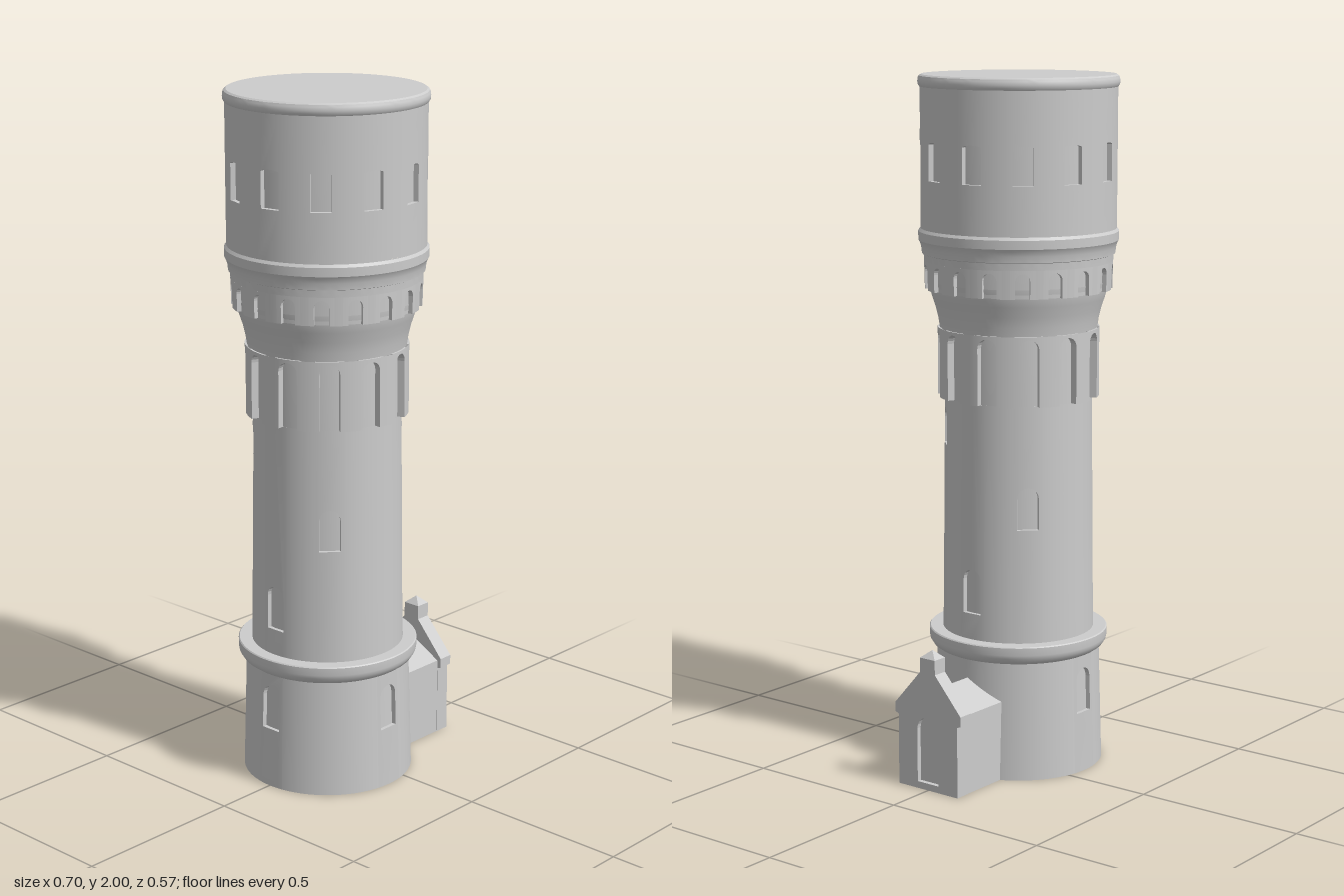
import * as THREE from 'three';
import { toCreasedNormals } from 'three/addons/utils/BufferGeometryUtils.js';

const stone = new THREE.MeshStandardMaterial({ color: 0xcccccc });
stone.name = 'pale stone';
const deg = Math.PI / 180;

function add(parent, name, geometry) {
  const mesh = new THREE.Mesh(geometry, stone);
  mesh.name = name;
  parent.add(mesh);
  return mesh;
}

// Surface turned around the tower axis, from [radius, y] points listed upwards
function turned(points, segments = 96, start = 0, length = Math.PI * 2) {
  const profile = points.map(([r, y]) => new THREE.Vector2(r, y));
  return toCreasedNormals(new THREE.LatheGeometry(profile, segments, start, length), 0.5);
}

// Outline of an arched opening
function archPoints(width, bottom, top, rise) {
  const points = [[-width / 2, bottom], [width / 2, bottom]];
  for (let i = 0; i <= 10; i++) {
    const t = (i / 10) * Math.PI;
    points.push([(width / 2) * Math.cos(t), top - rise + rise * Math.sin(t)]);
  }
  return points.map(([x, y]) => new THREE.Vector2(x, y));
}

// Flat panel with an arched hole (or a notch open at the bottom), bent onto the wall
function bentPanel(wall, angle, half, bottom, top) {
  const { y0, y1, r0, r1, depth, width, rise } = wall;
  const R = (r0 + r1) / 2, s = half * R;
  const open = bottom <= y0;
  const arch = archPoints(width, open ? y0 : bottom, top, rise);
  const outline = [new THREE.Vector2(-s, y0)];
  if (open) outline.push(arch[0], ...arch.slice(2).reverse(), arch[1]);
  else for (let i = 1; i < 6; i++) outline.push(new THREE.Vector2(-s + (2 * s * i) / 6, y0));
  for (let i = 0; i <= 8; i++) {
    if (i === 0) outline.push(new THREE.Vector2(s, y0));
    outline.push(new THREE.Vector2(s - (2 * s * i) / 8, y1));
  }
  const shape = new THREE.Shape(outline);
  if (!open) shape.holes.push(new THREE.Path(arch));
  const geo = new THREE.ExtrudeGeometry(shape, { depth, bevelEnabled: false });
  const p = geo.attributes.position, n = geo.attributes.normal;
  for (let i = 0; i < p.count; i++) {
    const a = angle + p.getX(i) / R, y = p.getY(i);
    const r = r0 + ((r1 - r0) * (y - y0)) / (y1 - y0) - depth + p.getZ(i);
    const nx = n.getX(i), nz = n.getZ(i), sin = Math.sin(a), cos = Math.cos(a);
    p.setXYZ(i, r * sin, y, r * cos);
    n.setXYZ(i, nx * cos + nz * sin, n.getY(i), -nx * sin + nz * cos);
  }
  return geo;
}

// Round wall with recessed openings: [angle in degrees, bottom, top]
function roundWall(parent, name, wall, openings) {
  const group = new THREE.Group();
  group.name = name;
  parent.add(group);
  const { y0, y1, r0, r1, depth, width } = wall;
  const sorted = [...openings].sort((a, b) => a[0] - b[0]);
  const half = Math.min(Math.PI / openings.length, width / 2 / r0 + 3 * deg);
  add(group, 'recessBacks', turned([[r0 - depth, y0], [r1 - depth, y1]]));
  sorted.forEach(([a, bottom, top], i) => {
    add(group, 'archedPanel', bentPanel(wall, a * deg, half, bottom, top));
    const next = i + 1 < sorted.length ? sorted[i + 1][0] : sorted[0][0] + 360;
    const start = a * deg + half, gap = next * deg - half - start;
    if (gap > 0.001) {
      const segments = Math.ceil(gap / (3.75 * deg));
      const profile = [[r0, y0], [r1, y1]].map(([r, y]) => new THREE.Vector2(r, y));
      add(group, 'plainWall', new THREE.LatheGeometry(profile, segments, start, gap));
    }
  });
}

const around = (count, offset, bottom, top) =>
  Array.from({ length: count }, (_, i) => [offset + (i * 360) / count, bottom, top]);

function buildTower() {
  const tower = new THREE.Group();
  tower.name = 'tower';
  tower.position.x = -0.068;

  // Base storey
  add(tower, 'underside', turned([[0, 0], [0.247, 0]]));
  roundWall(tower, 'baseWall',
    { y0: 0, y1: 0.345, r0: 0.247, r1: 0.237, depth: 0.013, width: 0.064, rise: 0.032 },
    [0, 180, 270].map((a) => [a, 0.175, 0.307]));
  add(tower, 'baseMoulding', turned([[0.22, 0.345], [0.24, 0.345], [0.25, 0.352],
    [0.258, 0.365], [0.26, 0.375], [0.26, 0.397], [0.257, 0.4], [0.2, 0.4]]));

  // Shaft with windows climbing around it
  roundWall(tower, 'shaft',
    { y0: 0.4, y1: 1.085, r0: 0.22, r1: 0.212, depth: 0.013, width: 0.062, rise: 0.031 },
    [90, 270].map((a) => [a, 0.475, 0.605])
      .concat([135, 315].map((a) => [a, 0.73, 0.852]), [45, 225].map((a) => [a, 0.945, 1.05])));

  // Tall arcade, flare and small arcade
  roundWall(tower, 'tallArcade',
    { y0: 1.085, y1: 1.285, r0: 0.232, r1: 0.232, depth: 0.021, width: 0.058, rise: 0.028 },
    around(12, 15, 0, 1.276));
  add(tower, 'flare', turned([[0.226, 1.283], [0.23, 1.31], [0.237, 1.34], [0.247, 1.37],
    [0.254, 1.395], [0.257, 1.42]]));
  roundWall(tower, 'smallArcade',
    { y0: 1.395, y1: 1.475, r0: 0.268, r1: 0.27, depth: 0.013, width: 0.042, rise: 0.021 },
    around(18, 10, 0, 1.466));
  add(tower, 'headMoulding', turned([[0.27, 1.475], [0.271, 1.495], [0.276, 1.497],
    [0.278, 1.515], [0.282, 1.528], [0.286, 1.535], [0.286, 1.56], [0.28, 1.568], [0.28, 1.57]]));

  // Head storey and cap
  roundWall(tower, 'headWall',
    { y0: 1.57, y1: 1.967, r0: 0.28, r1: 0.28, depth: 0.015, width: 0.058, rise: 0.006 },
    around(12, 10, 1.708, 1.816));
  add(tower, 'cap', turned([[0.27, 1.966], [0.281, 1.966], [0.285, 1.972], [0.286, 1.98],
    [0.285, 1.99], [0.282, 1.996], [0.276, 2], [0, 2]]));
  return tower;
}

function buildPorch() {
  const porch = new THREE.Group();
  porch.name = 'porch';
  const alongX = (shape, x0, x1) => {
    const geo = new THREE.ExtrudeGeometry(shape, { depth: x1 - x0, bevelEnabled: false });
    return geo.rotateY(Math.PI / 2).translate(x0, 0, 0);
  };
  // Mirrored outline from its right half, listed upwards
  const mirrored = (half) => new THREE.Shape([...half, ...half.map(([x, y]) => [-x, y]).reverse()]
    .map(([x, y]) => new THREE.Vector2(x, y)));

  // Body with its low pitched roof
  add(porch, 'porchBody', alongX(mirrored([[0.106, 0], [0.106, 0.232], [0.001, 0.29]]), 0.12, 0.336));

  // Gable wall with kneelers and arched doorway
  const gable = mirrored([[0.107, 0], [0.107, 0.207], [0.119, 0.212], [0.119, 0.24], [0.027, 0.345]]);
  gable.holes.push(new THREE.Path(archPoints(0.076, 0.02, 0.215, 0.038)));
  add(porch, 'gableWall', alongX(gable, 0.305, 0.35));

  // Finial block and pyramid
  add(porch, 'finialBlock', new THREE.BoxGeometry(0.045, 0.042, 0.054)).position.set(0.3275, 0.366, 0);
  const pyramid = new THREE.ConeGeometry(Math.SQRT1_2, 1, 4).rotateY(Math.PI / 4).scale(0.045, 0.022, 0.054);
  add(porch, 'finialTop', toCreasedNormals(pyramid, 0.3)).position.set(0.3275, 0.398, 0);
  return porch;
}

export function createModel() {
  const model = new THREE.Group();
  model.name = 'waterTower';
  model.add(buildTower(), buildPorch());
  return model;
}
